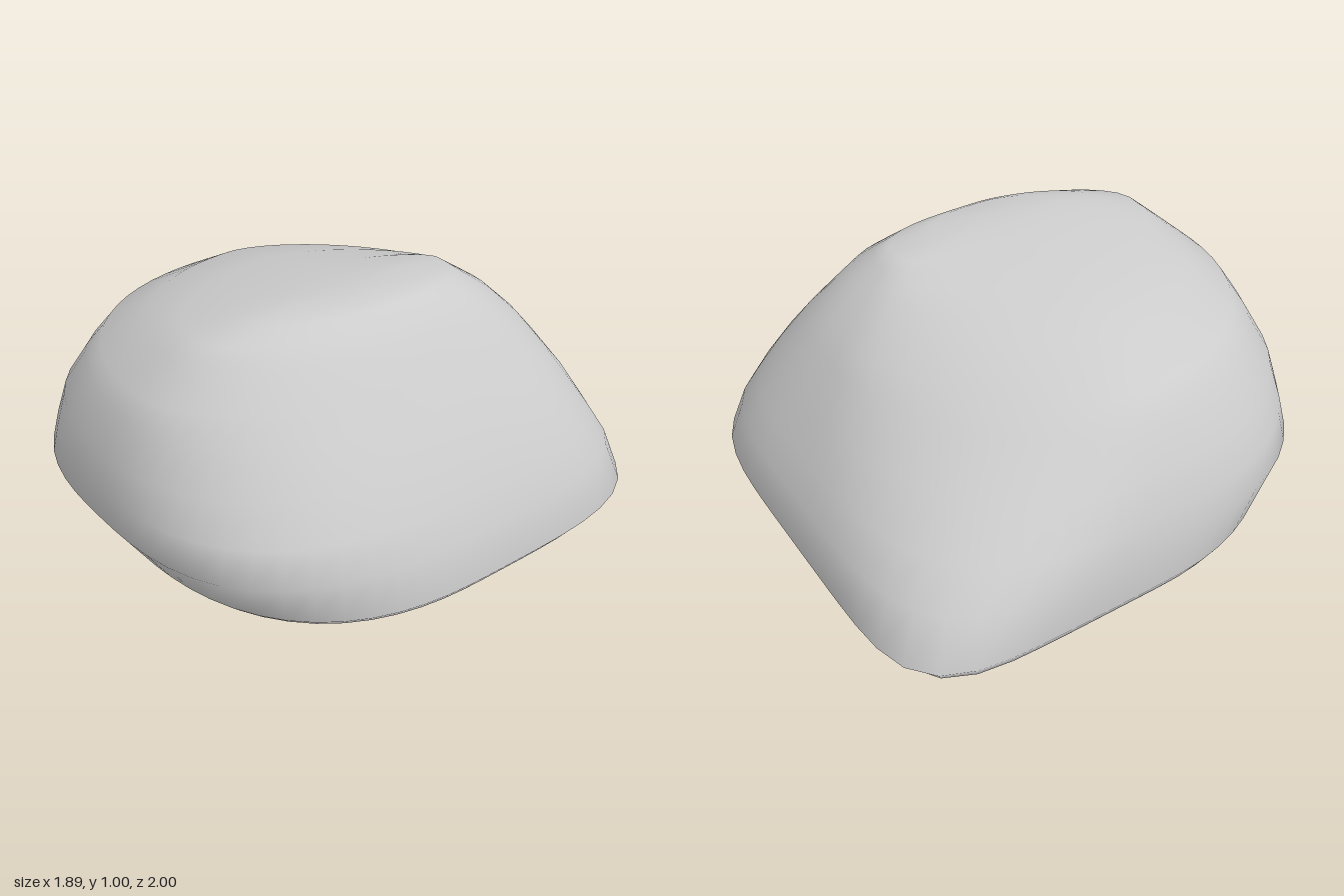
import * as THREE from 'three';

// Horizontal cross-sections of the boulder: height, then extents -x, +x, -z, +z
const RINGS = [
  [0.01, -0.60, 0.62, -0.66, 0.48],
  [0.04, -0.85, 0.86, -0.91, 0.70],
  [0.08, -0.93, 0.91, -0.955, 0.86],
  [0.12, -0.95, 0.94, -1.0, 0.895],
  [0.28, -0.935, 0.89, -0.95, 1.0],
  [0.40, -0.91, 0.84, -0.88, 0.985],
  [0.54, -0.855, 0.76, -0.80, 0.97],
  [0.68, -0.77, 0.67, -0.70, 0.91],
  [0.77, -0.70, 0.60, -0.63, 0.865],
  [0.88, -0.49, 0.53, -0.51, 0.74],
  [0.94, -0.24, 0.46, -0.42, 0.67],
  [0.98, 0.0, 0.41, -0.36, 0.51],
  [1.0, 0.15, 0.37, -0.18, 0.36],
];
const SEGMENTS = 64;

// How square each corner is at height y: softer toward the top,
// and the front corners also tuck in below the widest level
function squareness(y, positiveX, positiveZ) {
  const low = 1 - y;
  if (positiveZ) {
    const tuck = 3 * Math.max(0, 0.28 - y);
    return (positiveX ? 1.65 + 1.6 * low : 1.95 + 1.0 * low) - tuck;
  }
  return positiveX ? 3.4 + 0.7 * low : 1.5 + 7.2 * Math.pow(low, 3);
}

function boulderGeometry() {
  const positions = [];
  const indices = [];

  // Rings of four rounded corners about a centre that drifts toward the peak
  for (const [y, x0, x1, z0, z1] of RINGS) {
    const cx = 0.22 * Math.pow(y, 4);
    const cz = 0.1 * y * y;
    for (let j = 0; j < SEGMENTS; j++) {
      const angle = (j / SEGMENTS) * Math.PI * 2;
      const c = Math.cos(angle);
      const s = Math.sin(angle);
      const a = c > 0 ? x1 - cx : cx - x0;
      const b = s > 0 ? z1 - cz : cz - z0;
      const n = squareness(y, c > 0, s > 0);
      const r = Math.pow(Math.pow(Math.abs(c) / a, n) + Math.pow(Math.abs(s) / b, n), -1 / n);
      const x = cx + r * c;
      // The underside rises slightly toward +x
      positions.push(x, y + 0.014 * x * (1 - y), cz + r * s);
    }
  }

  // Skin between neighbouring rings
  const at = (i, j) => i * SEGMENTS + (j % SEGMENTS);
  const last = RINGS.length - 1;
  for (let i = 0; i < last; i++) {
    for (let j = 0; j < SEGMENTS; j++) {
      indices.push(at(i, j), at(i + 1, j), at(i, j + 1));
      indices.push(at(i, j + 1), at(i + 1, j), at(i + 1, j + 1));
    }
  }

  // Close the underside and the peak
  const bottom = positions.length / 3;
  positions.push(0, 0.01, 0, 0.26, 1.003, 0.1);
  for (let j = 0; j < SEGMENTS; j++) {
    indices.push(bottom, at(0, j), at(0, j + 1));
    indices.push(bottom + 1, at(last, j + 1), at(last, j));
  }

  const geometry = new THREE.BufferGeometry();
  geometry.setAttribute('position', new THREE.Float32BufferAttribute(positions, 3));
  geometry.setIndex(indices);
  geometry.computeVertexNormals();
  return geometry;
}

export function createModel() {
  const group = new THREE.Group();
  group.name = 'rock';
  const boulder = new THREE.Mesh(
    boulderGeometry(),
    new THREE.MeshStandardMaterial({ color: 0xcccccc })
  );
  boulder.name = 'boulder';
  group.add(boulder);
  return group;
}
